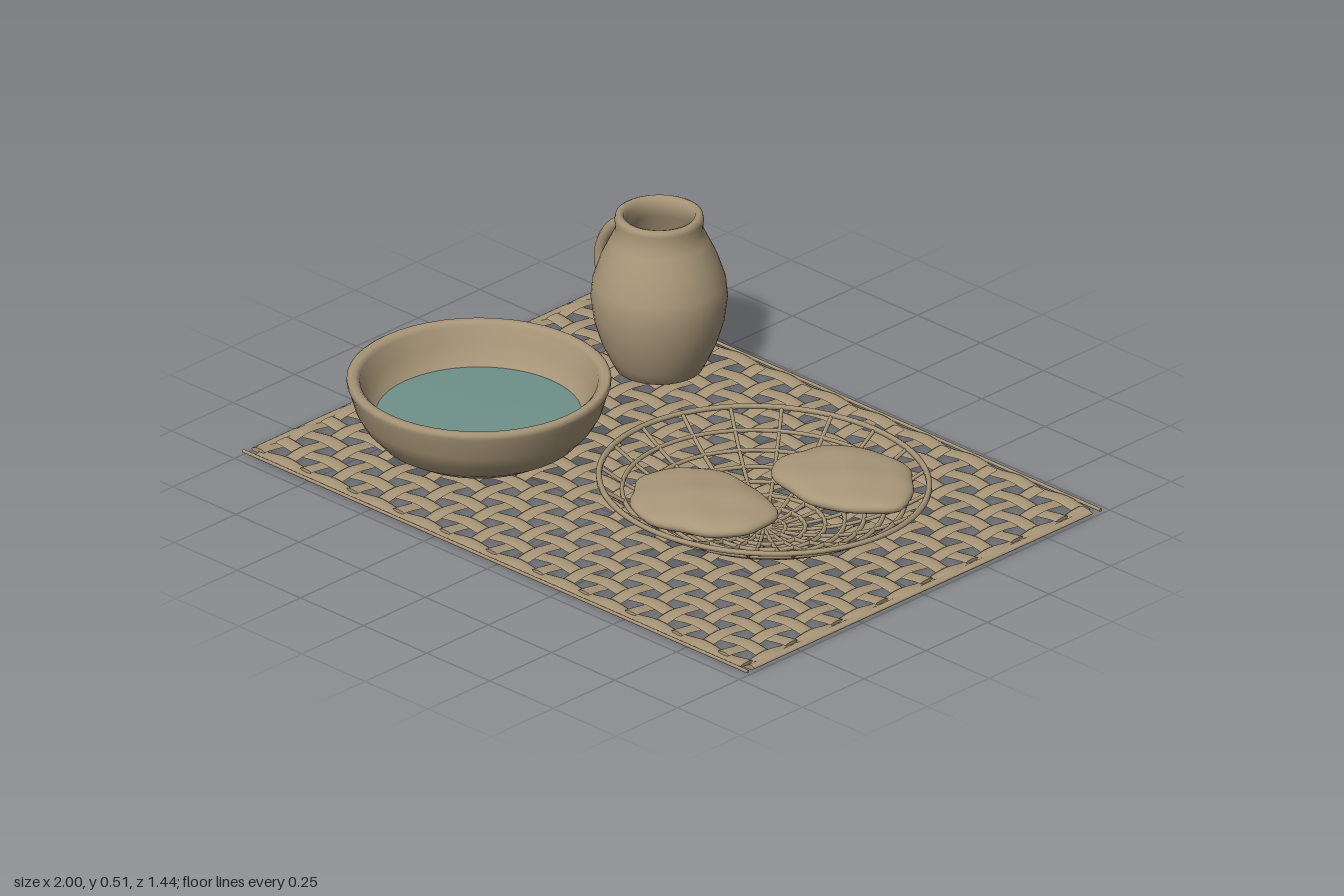
import * as THREE from 'three';

const clay = new THREE.MeshStandardMaterial({ color: 0xa89678 });
clay.name = 'clay tan';
clay.side = THREE.DoubleSide;
const waterMat = new THREE.MeshStandardMaterial({ color: 0x70918a });
waterMat.name = 'water teal';

const mesh = (name, geometry, material = clay) => {
  const m = new THREE.Mesh(geometry, material);
  m.name = name;
  return m;
};

const lathe = (points) =>
  new THREE.LatheGeometry(points.map(([r, y]) => new THREE.Vector2(r, y)), 48);

// Flattened strip along x that rises and falls over the crossing strips
function strip(length, width, pitch, phase) {
  const segs = Math.round(length / pitch) * 4;
  const g = new THREE.CylinderGeometry(1, 1, length, 8, segs);
  g.rotateZ(Math.PI / 2);
  g.scale(1, 0.005, width / 2);
  const p = g.attributes.position;
  for (let i = 0; i < p.count; i++) {
    const wave = 0.005 * Math.cos((Math.PI * (p.getX(i) + length / 2)) / pitch + phase);
    p.setY(i, p.getY(i) + 0.01 + wave);
  }
  g.computeVertexNormals();
  return g;
}

function createMat() {
  const mat = new THREE.Group();
  mat.name = 'wovenMat';
  const rows = 16, cols = 22, w = 1.93, d = 1.37;
  const px = w / (cols - 1), pz = d / (rows - 1);
  for (let r = 0; r < rows; r++) {
    const m = mesh('matRow', strip(w, 0.05, px, r % 2 ? Math.PI : 0));
    m.position.z = -d / 2 + r * pz;
    mat.add(m);
  }
  for (let c = 0; c < cols; c++) {
    // the last row lies at the start of the turned strip, so the phase is opposite to the rows
    const m = mesh('matColumn', strip(d, 0.045, pz, c % 2 ? Math.PI : 0));
    m.rotation.y = Math.PI / 2;
    m.position.x = -w / 2 + c * px;
    mat.add(m);
  }
  // Border rods and side bands
  for (const s of [-1, 1]) {
    const rod = mesh('matEndRod', new THREE.CylinderGeometry(0.005, 0.005, 2, 8).rotateZ(Math.PI / 2));
    rod.position.set(0, 0.012, s * 0.715);
    const band = mesh('matSideBand', new THREE.CylinderGeometry(1, 1, 1.37, 10).rotateX(Math.PI / 2).scale(0.014, 0.006, 1));
    band.position.set(s * 0.982, 0.01, 0);
    mat.add(rod, band);
  }
  return mat;
}

function createBowl() {
  const bowl = new THREE.Group();
  bowl.name = 'bowl';
  bowl.add(mesh('bowlShell', lathe([
    [0, 0.02], [0.2, 0.02], [0.24, 0.035], [0.29, 0.065], [0.33, 0.11], [0.352, 0.15], [0.366, 0.2],
    [0.375, 0.222], [0.375, 0.236], [0.367, 0.241], [0.35, 0.239], [0.338, 0.228],
    [0.325, 0.18], [0.3, 0.13], [0.26, 0.085], [0.2, 0.055], [0, 0.045],
  ])));
  bowl.add(mesh('water', lathe([[0.297, 0.121], [0.28, 0.125], [0, 0.126]]), waterMat));
  bowl.position.set(-0.535, 0, 0.235);
  return bowl;
}

function createJug() {
  const jug = new THREE.Group();
  jug.name = 'jug';
  jug.add(mesh('jugBody', lathe([
    [0, 0.02], [0.11, 0.02], [0.125, 0.027], [0.142, 0.06], [0.165, 0.11], [0.186, 0.18], [0.195, 0.25],
    [0.19, 0.3], [0.167, 0.37], [0.138, 0.43], [0.124, 0.46], [0.127, 0.49],
    [0.124, 0.505], [0.114, 0.51], [0.102, 0.505], [0.097, 0.485], [0.097, 0.45],
    [0.14, 0.37], [0.168, 0.26], [0.15, 0.13], [0.11, 0.05], [0, 0.045],
  ])));
  const path = new THREE.CatmullRomCurve3([
    [-0.12, 0.445], [-0.165, 0.42], [-0.21, 0.37], [-0.232, 0.31], [-0.228, 0.26], [-0.205, 0.22], [-0.17, 0.195],
  ].map(([x, y]) => new THREE.Vector3(x, y, 0)));
  jug.add(mesh('jugHandle', new THREE.TubeGeometry(path, 28, 0.019, 10)));
  jug.position.set(-0.515, 0, -0.475);
  return jug;
}

// Height of the wire basket at a fraction of its radius
const basketY = (f) => 0.036 + 0.152 * Math.pow(f, 2.2);

function createBasket() {
  const basket = new THREE.Group();
  basket.name = 'wireBasket';
  const rx = 0.485, rz = 0.45;
  const at = (f, a) => new THREE.Vector3(rx * f * Math.cos(a), basketY(f), rz * f * Math.sin(a));
  for (const f of [0.13, 0.25, 0.37, 0.49, 0.61, 0.73, 0.86, 1]) {
    const pts = Array.from({ length: 32 }, (_, i) => at(f, (i / 32) * Math.PI * 2));
    const ring = new THREE.CatmullRomCurve3(pts, true);
    basket.add(mesh(f === 1 ? 'basketRim' : 'basketRing', new THREE.TubeGeometry(ring, 80, f === 1 ? 0.009 : 0.007, 6, true)));
  }
  const ribs = 20;
  for (let i = 0; i < ribs; i++) {
    const a = (i / ribs) * Math.PI * 2;
    const rib = new THREE.CatmullRomCurve3([0, 0.2, 0.4, 0.6, 0.8, 1].map((f) => at(f, a)));
    basket.add(mesh('basketRib', new THREE.TubeGeometry(rib, 16, 0.006, 6)));
  }
  basket.position.set(0.43, 0, 0.067);
  return basket;
}

// Flat loaf with an uneven outline and a gently dented top
function createBread(x, y, z, rx, rz, phase) {
  const g = new THREE.SphereGeometry(1, 48, 24);
  const p = g.attributes.position;
  for (let i = 0; i < p.count; i++) {
    const [u, v, w] = [p.getX(i), p.getY(i), p.getZ(i)];
    const a = Math.atan2(w, u);
    const r = Math.hypot(u, w);
    const k = 1 + r * (0.04 * Math.sin(3 * a + phase) + 0.03 * Math.sin(5 * a + 2 * phase) + 0.015 * Math.sin(9 * a));
    const bump = 0.004 * Math.sin(6 * u + phase) * Math.sin(5 * w + 1) * Math.abs(v);
    p.setXYZ(i, u * k * rx, Math.sign(v) * Math.pow(Math.abs(v), 0.85) * 0.038 + bump, w * k * rz);
  }
  g.computeVertexNormals();
  const m = mesh('flatBread', g);
  m.position.set(x, y, z);
  return m;
}

export function createModel() {
  const model = new THREE.Group();
  model.name = 'tableSetting';
  model.add(
    createMat(), createBowl(), createJug(), createBasket(),
    createBread(0.55, 0.155, -0.145, 0.225, 0.175, 0.6),
    createBread(0.35, 0.148, 0.24, 0.23, 0.178, 2.4),
  );
  return model;
}
